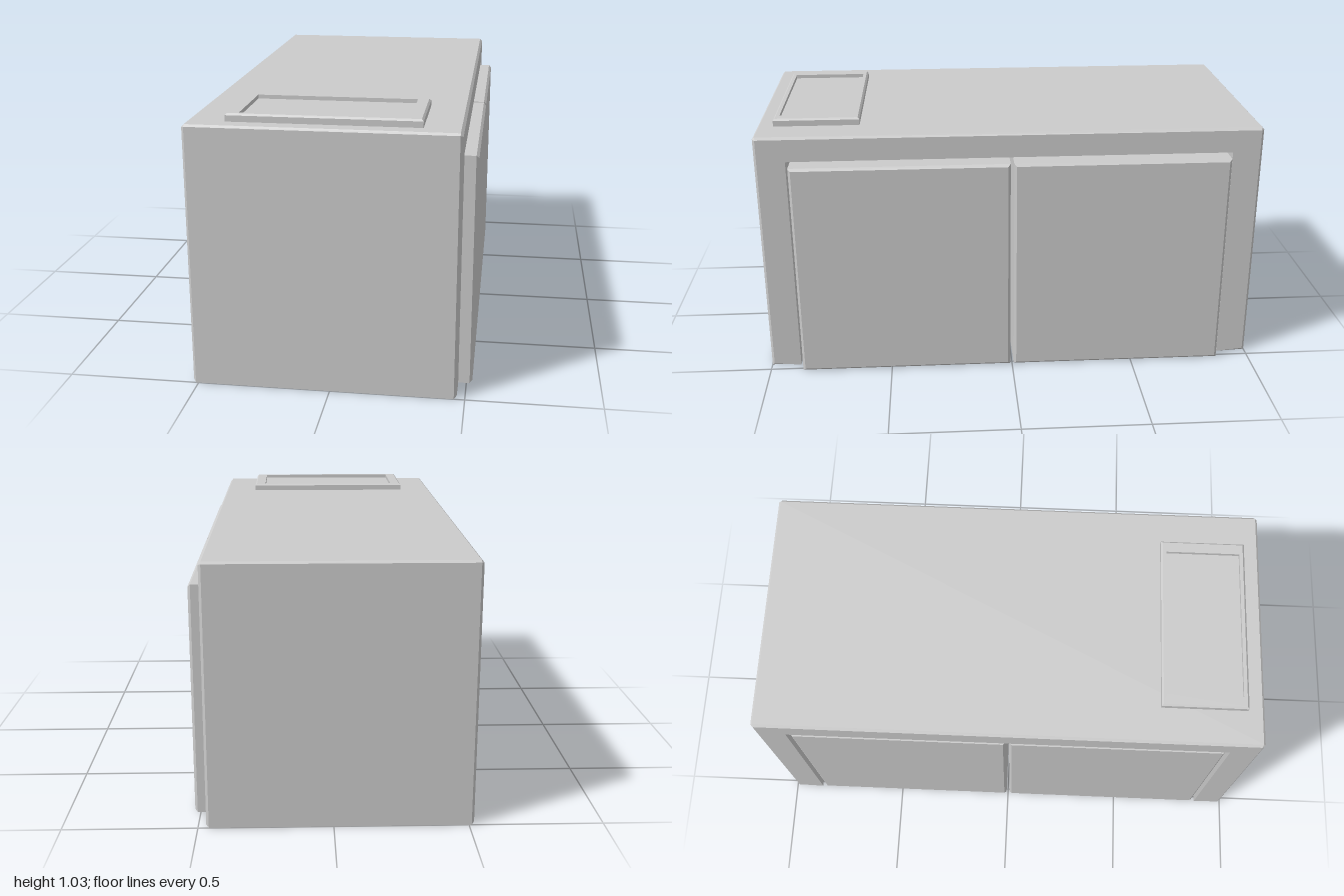
import * as THREE from 'three';

const material = new THREE.MeshStandardMaterial({ color: 0xcccccc, flatShading: true });

const toPoints = (list) => list.map(([x, y]) => new THREE.Vector2(x, y));
const rect = (x0, x1, y0, y1) => toPoints([[x0, y0], [x1, y0], [x1, y1], [x0, y1]]);

// Extrusion from z = 0 to depth with small chamfers at both ends.
// Corners listed in "sharp" keep their place, so openings stay unchamfered.
function chamferedExtrude(outline, holes, depth, chamfer, sharp) {
  const shape = new THREE.Shape(outline);
  holes.forEach((h) => shape.holes.push(new THREE.Path(h)));
  const geo = new THREE.ExtrudeGeometry(shape, {
    depth: depth - 2 * chamfer, bevelEnabled: true, bevelSegments: 1,
    bevelSize: chamfer, bevelThickness: chamfer, bevelOffset: -chamfer,
  });
  geo.translate(0, 0, chamfer);
  const pos = geo.attributes.position;
  const p = new THREE.Vector2();
  for (let i = 0; i < pos.count; i++) {
    p.set(pos.getX(i), pos.getY(i));
    const corner = sharp.find((c) => c.distanceTo(p) < 1.6 * chamfer);
    if (corner) pos.setXY(i, corner.x, corner.y);
  }
  geo.computeVertexNormals();
  return geo;
}

function addMesh(parent, name, geo) {
  const mesh = new THREE.Mesh(geo, material);
  mesh.name = name;
  parent.add(mesh);
  return mesh;
}

// Drawer cabinet: chamfered block with three recessed pull slots on its +x face
function createCabinet(name, z) {
  const cabinet = new THREE.Group();
  cabinet.name = name;
  const width = 0.86, height = 0.888, slotHalf = width / 2 - 0.014;
  const c = 0.01, back = -0.52, front = 0.522, slotFloor = 0.49;
  const slots = [0.222, 0.445, 0.668].map((y) => rect(-slotHalf, slotHalf, y - 0.029, y + 0.029));
  const outline = rect(-width / 2, width / 2, 0, height);

  const shell = chamferedExtrude(outline, slots, front - back, c, slots.flat());
  shell.rotateY(Math.PI / 2).translate(back, 0, 0);
  addMesh(cabinet, 'cabinetBody', shell);

  // Floor behind the slots
  const core = new THREE.BoxGeometry(slotFloor - back, 0.6, 2 * slotHalf);
  core.translate((slotFloor + back) / 2, 0.445, 0);
  addMesh(cabinet, 'slotFloor', core);

  cabinet.position.z = z;
  return cabinet;
}

export function createModel() {
  const model = new THREE.Group();
  model.name = 'deskWithCabinets';

  // Desk frame: two thick side walls and a top, open right through along x
  const inner = toPoints([[0.88, 0], [0.88, 0.9], [-0.88, 0.9], [-0.88, 0]]);
  const frameOutline = [
    ...toPoints([[-1, 0], [-1, 0.992], [-0.992, 1], [0.992, 1], [1, 0.992], [1, 0]]),
    ...inner,
  ].reverse();
  const frame = chamferedExtrude(frameOutline, [], 0.99, 0.01, inner);
  frame.rotateY(Math.PI / 2).translate(-0.52, 0, 0);
  addMesh(model, 'deskFrame', frame);

  // Pair of cabinets under the desk
  model.add(createCabinet('frontCabinet', 0.437));
  model.add(createCabinet('backCabinet', -0.437));

  // Framed tray on the top
  const tray = new THREE.Group();
  tray.name = 'topTray';
  const opening = rect(-0.305, 0.305, -0.149, 0.149);
  const rim = chamferedExtrude(rect(-0.353, 0.353, -0.17, 0.17), [opening], 0.04, 0.007, opening);
  rim.rotateX(-Math.PI / 2).translate(0, -0.01, 0);
  addMesh(tray, 'trayRim', rim);
  const panel = new THREE.BoxGeometry(0.61, 0.025, 0.298);
  panel.translate(0, 0.0025, 0);
  addMesh(tray, 'trayPanel', panel);
  tray.position.set(-0.024, 1, 0.766);
  model.add(tray);

  return model;
}
